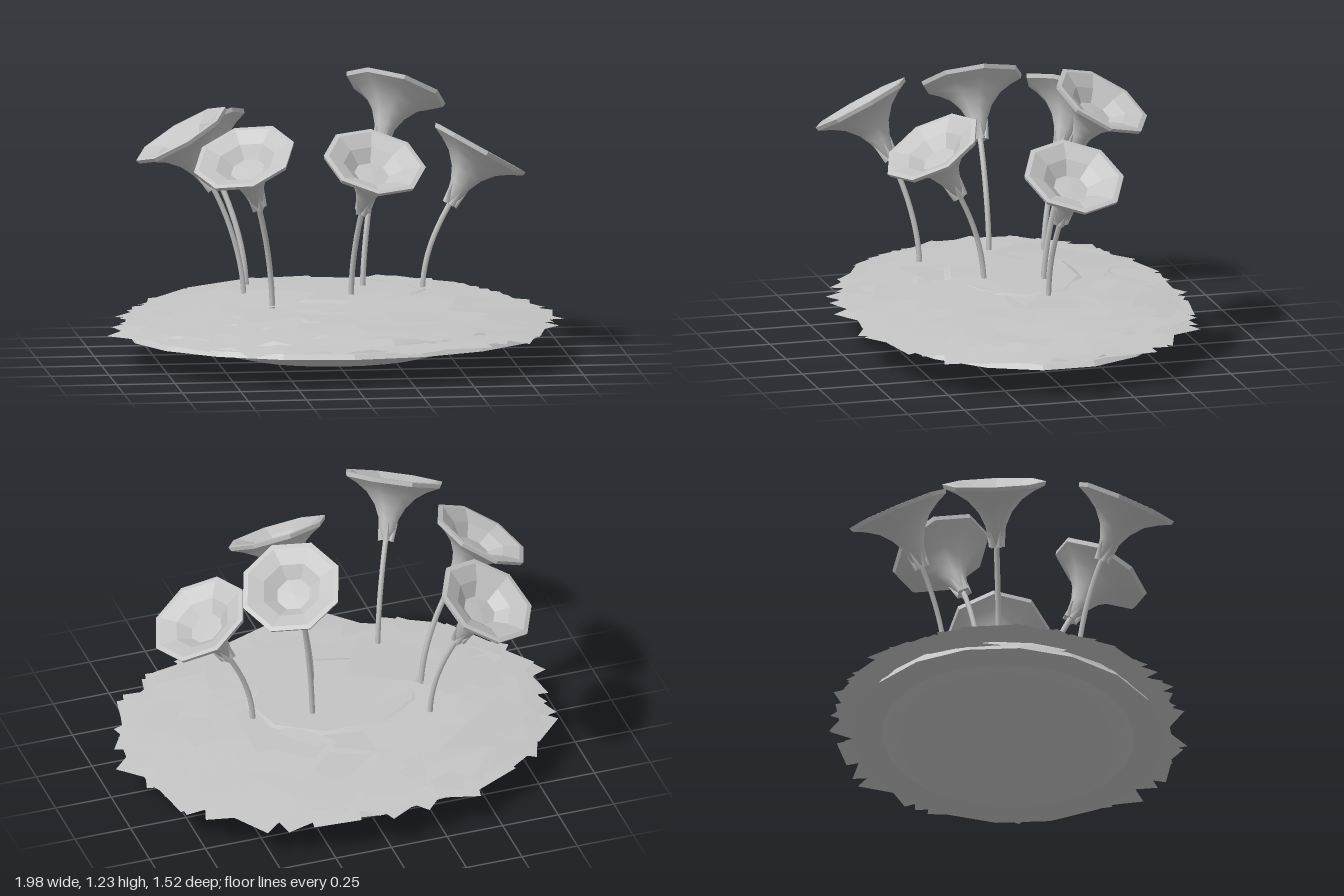
import * as THREE from 'three';
import { mergeGeometries } from 'three/addons/utils/BufferGeometryUtils.js';

const UP = new THREE.Vector3(0, 1, 0);
const DEPTH = 0.75; // depth of the oval bed relative to its width

const grey = new THREE.MeshStandardMaterial({ color: 0xc4c4c4, side: THREE.DoubleSide });
grey.name = 'grey';

// small seeded generator for the leaf scatter
let seed = 7;
function rand(a, b) {
  seed = (seed * 16807) % 2147483647;
  return a + (b - a) * (seed / 2147483647);
}

function mesh(name, geometry) {
  const m = new THREE.Mesh(geometry, grey);
  m.name = name;
  return m;
}

function lathe(points, sides, faceted = false) {
  const g = new THREE.LatheGeometry(points.map(([r, y]) => new THREE.Vector2(r, y)), sides);
  if (!faceted) return g;
  const flat = g.toNonIndexed();
  flat.computeVertexNormals();
  return flat;
}

// one ring of flat, square leaves that dip outwards
function leafRing(radius, y, count, size, dip) {
  const parts = [];
  for (let i = 0; i < count; i++) {
    const a = ((i + rand(-0.3, 0.3)) / count) * Math.PI * 2;
    const c = Math.cos(a), s = Math.sin(a);
    const r = radius * rand(0.96, 1.02);
    const normal = new THREE.Vector3(c * dip + rand(-0.04, 0.04), 1, s * dip + rand(-0.04, 0.04)).normalize();
    const q = new THREE.Quaternion().setFromUnitVectors(UP, normal);
    const yaw = new THREE.Quaternion().setFromAxisAngle(UP, rand(0, Math.PI));
    const leaf = new THREE.PlaneGeometry(size * rand(0.85, 1.12), size * rand(0.8, 1.05));
    leaf.rotateX(-Math.PI / 2);
    leaf.applyQuaternion(q.multiply(yaw));
    leaf.translate(
      r * Math.sign(c) * Math.abs(c) ** 0.92,
      y + rand(-0.012, 0.012),
      r * DEPTH * Math.sign(s) * Math.abs(s) ** 0.92
    );
    parts.push(leaf);
  }
  return mergeGeometries(parts);
}

// trumpet flower whose rim centre is the origin and whose axis is +y
function makeBloom() {
  const bloom = new THREE.Group();
  bloom.name = 'bloom';
  bloom.add(mesh('trumpet', lathe([
    [0.014, -0.27], [0.034, -0.23], [0.046, -0.18], [0.072, -0.125],
    [0.115, -0.075], [0.165, -0.042], [0.216, -0.018],
  ], 8)));
  bloom.add(mesh('lip', lathe([[0.216, -0.018], [0.222, 0], [0.2, 0.002]], 8, true)));
  bloom.add(mesh('innerPetals', lathe([[0.2, 0.002], [0.13, -0.026], [0.075, -0.07]], 8, true)));
  bloom.add(mesh('throat', lathe([[0.075, -0.07], [0, -0.066]], 8, true)));

  // pointed sepals hugging the narrow end
  for (let i = 0; i < 5; i++) {
    const sepal = new THREE.ConeGeometry(0.016, 0.085, 4);
    sepal.rotateZ(-0.28);
    sepal.translate(0.032, -0.232, 0);
    sepal.rotateY((i / 5) * Math.PI * 2);
    bloom.add(mesh('sepal', sepal));
  }
  return bloom;
}

// flower from the foot of its stem to the centre of its rim, leaning outwards
function makeFlower([footX, footZ], [x, y, z]) {
  const flower = new THREE.Group();
  flower.name = 'flower';
  const rim = new THREE.Vector3(x, y, z);
  const foot = new THREE.Vector3(footX, 0.27, footZ);
  const tilt = 0.53;
  const axis = new THREE.Vector3(x - footX, 0, z - footZ).normalize()
    .multiplyScalar(Math.sin(tilt)).setY(Math.cos(tilt));

  const neck = rim.clone().addScaledVector(axis, -0.25);
  const curve = new THREE.CubicBezierCurve3(
    foot, foot.clone().addScaledVector(UP, 0.17),
    neck.clone().addScaledVector(axis, -0.14), neck
  );
  flower.add(mesh('stem', new THREE.TubeGeometry(curve, 10, 0.012, 6)));

  const bloom = makeBloom();
  bloom.position.copy(rim);
  bloom.quaternion.setFromUnitVectors(UP, axis);
  flower.add(bloom);
  return flower;
}

export function createModel() {
  seed = 7;
  const model = new THREE.Group();
  model.name = 'flowerBed';

  // shallow bowl, rim and mound, all oval
  const bowl = lathe([[0, 0], [0.38, 0.022], [0.66, 0.085], [0.72, 0.112]], 24);
  const rim = lathe([[0.7, 0.11], [0.885, 0.112], [0.865, 0.134], [0.8, 0.136]], 18, true);
  const mound = lathe([[0.84, 0.13], [0.82, 0.17], [0.74, 0.22], [0.6, 0.262], [0.42, 0.285], [0, 0.295]], 24);
  for (const [name, g] of [['bowl', bowl], ['rim', rim], ['mound', mound]]) {
    g.scale(1, 1, DEPTH);
    model.add(mesh(name, g));
  }

  // leaves layered from the overhanging edge up to the flat crown
  const rings = [
    [0.82, 0.168, 32, 0.24, 0.13],
    [0.79, 0.2, 30, 0.25, 0.12],
    [0.74, 0.228, 28, 0.25, 0.1],
    [0.66, 0.255, 24, 0.26, 0.07],
    [0.54, 0.278, 18, 0.28, 0.05],
    [0.38, 0.292, 12, 0.3, 0.02],
  ];
  for (const ring of rings) model.add(mesh('leafLayer', leafRing(...ring)));
  const crown = new THREE.CylinderGeometry(0.36, 0.4, 0.012, 9);
  crown.scale(1, 1, DEPTH);
  crown.translate(0, 0.3, 0);
  model.add(mesh('crown', crown));

  // stem foot [x, z] and rim centre [x, y, z]
  const flowers = [
    [[-0.35, -0.24], [-0.54, 0.94, -0.43]],
    [[-0.39, -0.01], [-0.66, 0.99, -0.01]],
    [[-0.31, 0.32], [-0.46, 0.975, 0.54]],
    [[0.05, 0.14], [0.12, 0.92, 0.39]],
    [[0.13, -0.1], [0.3, 1.12, -0.31]],
    [[0.38, -0.05], [0.635, 0.89, -0.09]],
  ];
  for (const [foot, top] of flowers) model.add(makeFlower(foot, top));

  return model;
}
